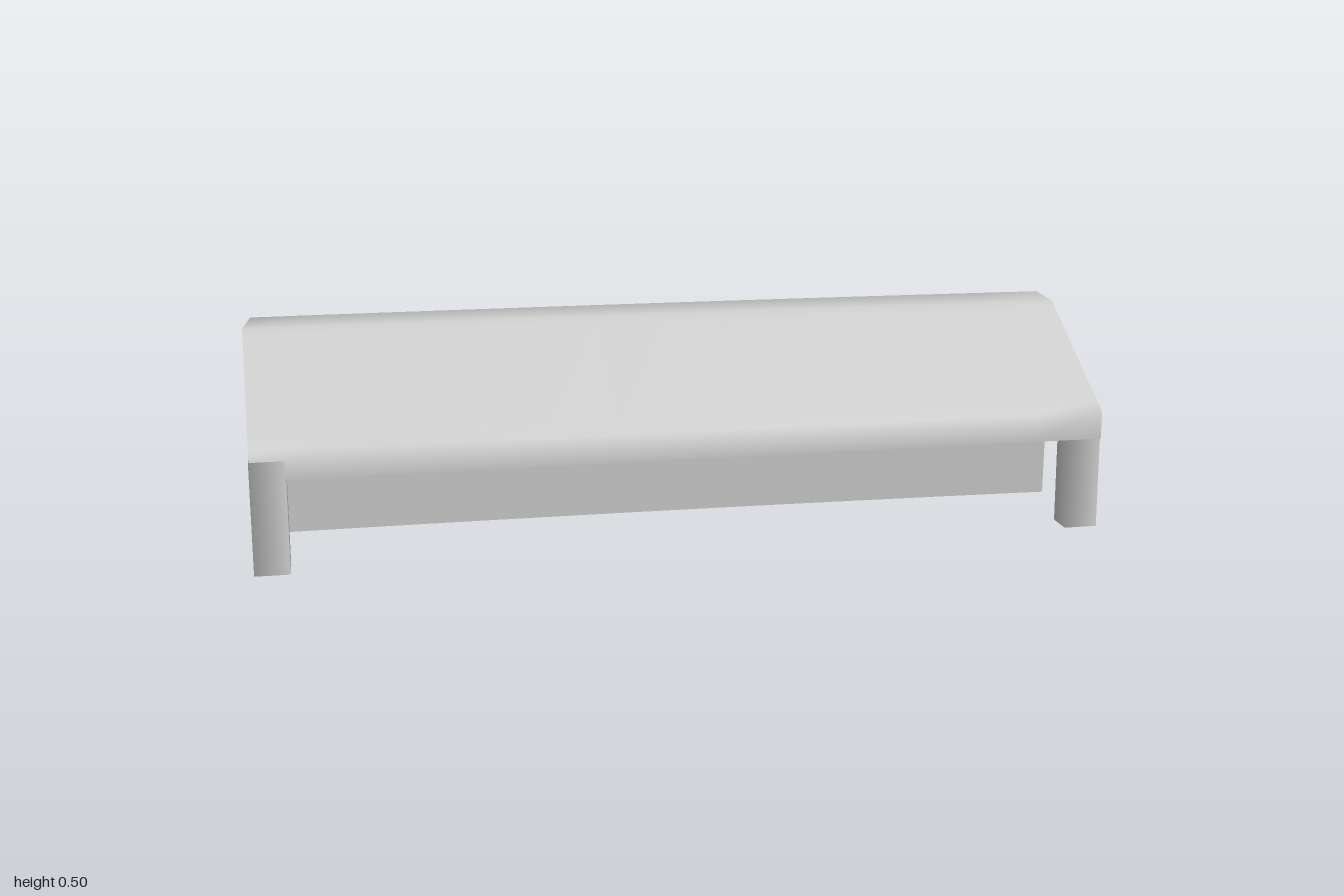
import * as THREE from 'three';
import { toCreasedNormals } from 'three/addons/utils/BufferGeometryUtils.js';

const material = new THREE.MeshStandardMaterial({ color: 0xcccccc, side: THREE.DoubleSide });
const STATIONS = 12;

// Profile points: [y, x and z at the right-hand end (-x), x and z at the left-hand end (+x), bow towards the back]
const BACK_TOP = [0.485, -1, -0.15, 0.955, -0.32, 0.012];
const BACK_BEVEL = [0.495, -1, -0.142, 0.955, -0.312, 0.012];
const RIDGE = [0.495, -1, -0.005, 0.957, -0.18, 0.012];
const EAVE_TOP = [0.285, -0.957, 0.306, 1, 0.12, 0];
const EAVE_BOTTOM = [0.22, -0.957, 0.308, 1, 0.122, 0];
const WALL_FRONT = [0.425, -1, -0.005, 0.957, -0.18, 0.012];
const WALL_BACK = [0.425, -1, -0.15, 0.955, -0.32, 0.012];

const mix = (a, b, t) => a.map((v, i) => v + (b[i] - v) * t);
const atHeight = (p, y) => [y, ...p.slice(1)];

// Sweep a profile along the length, with flat end caps; an open sweep leaves out the last side
function sweep(profile, open) {
  const n = profile.length;
  const positions = [], index = [];
  for (let s = 0; s <= STATIONS; s++) {
    const t = s / STATIONS;
    for (const [y, x0, z0, x1, z1, bow] of profile) {
      positions.push(x0 + (x1 - x0) * t, y, z0 + (z1 - z0) * t - bow * 4 * t * (1 - t));
    }
  }
  for (let s = 0; s < STATIONS; s++) {
    for (let i = 0; i < (open ? n - 1 : n); i++) {
      const a = s * n + i, b = s * n + (i + 1) % n;
      index.push(a, b, a + n, b, b + n, a + n);
    }
  }
  const outline = profile.map((p) => new THREE.Vector2(p[0], p[4]));
  const last = STATIONS * n;
  for (const [a, b, c] of THREE.ShapeUtils.triangulateShape(outline, [])) {
    index.push(c, b, a, last + a, last + b, last + c);
  }
  const geometry = new THREE.BufferGeometry();
  geometry.setAttribute('position', new THREE.Float32BufferAttribute(positions, 3));
  geometry.setIndex(index);
  return toCreasedNormals(geometry, 1.1);
}

// Open square post, turned with the front edge and leaning slightly forward at the foot
function postGeometry() {
  const bottom = 0.005, top = 0.262;
  const geometry = new THREE.CylinderGeometry(Math.SQRT1_2, Math.SQRT1_2, top - bottom, 4, 1, true);
  geometry.rotateY(Math.PI / 4);
  geometry.scale(0.079, 1, 0.066);
  geometry.rotateY(0.095);
  geometry.translate(0, (top + bottom) / 2, 0);
  const p = geometry.attributes.position;
  for (let i = 0; i < p.count; i++) {
    p.setZ(i, p.getZ(i) - 0.01 * (p.getY(i) - bottom) / (top - bottom));
  }
  return geometry;
}

export function createModel() {
  const group = new THREE.Group();
  const add = (name, geometry) => {
    const mesh = new THREE.Mesh(geometry, material);
    mesh.name = name;
    group.add(mesh);
    return mesh;
  };

  // Sloping canopy with a flat ledge on top of the wall
  add('canopy', sweep([
    BACK_TOP, BACK_BEVEL, RIDGE,
    mix(RIDGE, EAVE_TOP, 0.06), mix(RIDGE, EAVE_TOP, 0.9),
    EAVE_TOP, EAVE_BOTTOM, WALL_FRONT, WALL_BACK,
  ], false));

  // Hollow back wall, open underneath
  add('backWall', sweep([
    atHeight(WALL_BACK, 0), WALL_BACK, WALL_FRONT, atHeight(WALL_FRONT, 0),
  ], true));

  // Front posts
  const post = postGeometry();
  add('leftPost', post).position.set(0.957, 0, 0.097);
  add('rightPost', post).position.set(-0.922, 0, 0.281);

  return group;
}
